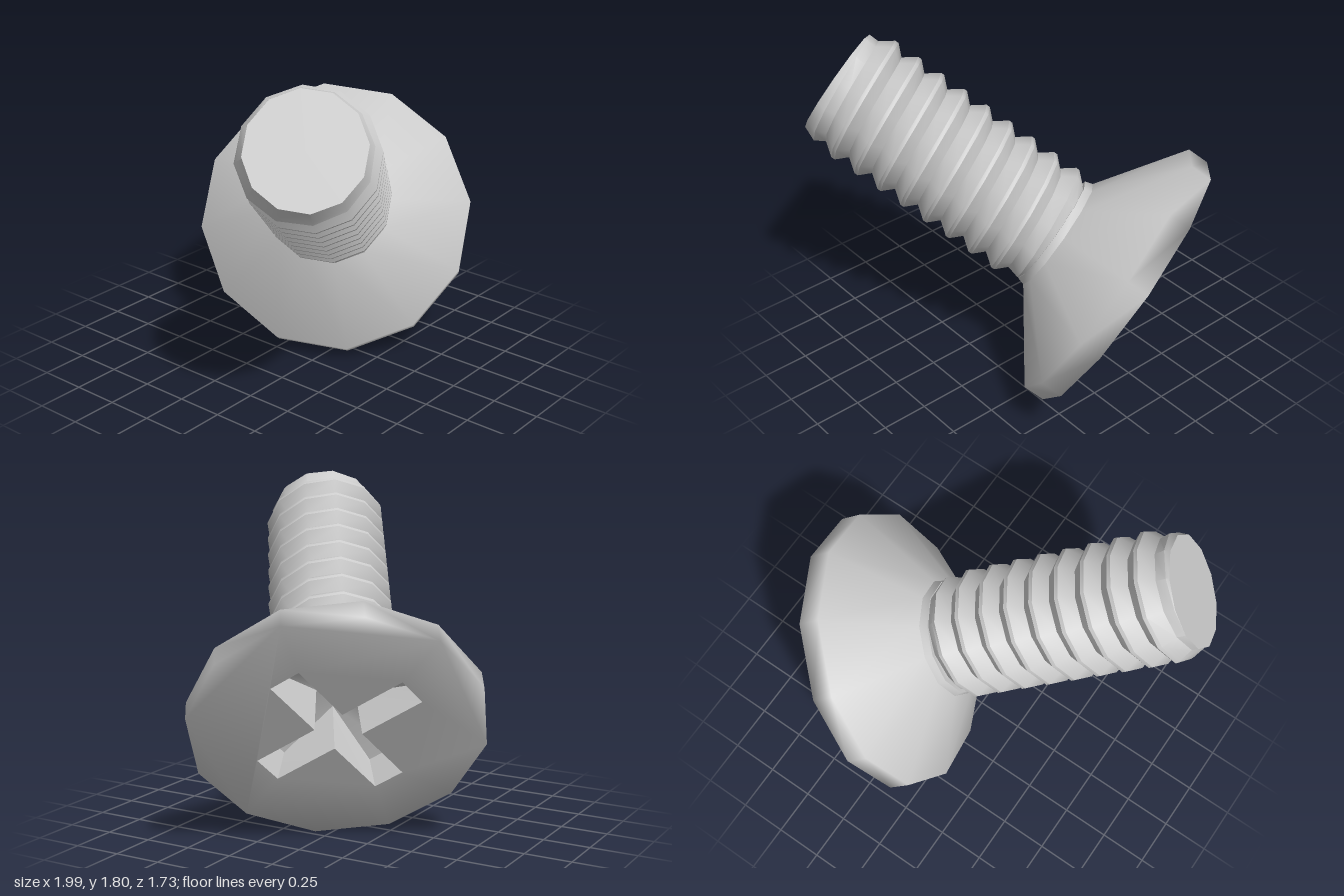
import * as THREE from 'three';
import { mergeGeometries, mergeVertices, toCreasedNormals } from 'three/addons/utils/BufferGeometryUtils.js';

const SIDES = 12, PHASE = Math.PI / 12, STEP = Math.PI * 2 / SIDES;
const RIM = 0.742, RIM_HALF = 0.062, NECK_Y = 0.36, TIP_Y = 1.72;
const ROOT = 0.282, CREST = 0.333, PITCH = 0.14;
const ARM = 0.433, ARM_W = 0.083;

const material = new THREE.MeshStandardMaterial({ color: 0xcccccc });

function addMesh(parent, name, geometry) {
  const mesh = new THREE.Mesh(geometry, material);
  mesh.name = name;
  parent.add(mesh);
}

function fromTriangles(points, index) {
  const g = new THREE.BufferGeometry();
  g.setAttribute('position', new THREE.Float32BufferAttribute(points.flat(), 3));
  g.setIndex(index);
  return g;
}

// Cross outline as [x, z], three corners per arm: inner corner, then the two end corners
function crossOutline(length, width) {
  const out = [];
  for (let k = 0; k < 4; k++) {
    const c = Math.round(Math.cos(k * Math.PI / 2)), s = Math.round(Math.sin(k * Math.PI / 2));
    for (const [u, v] of [[width, -width], [length, -width], [length, width]]) {
      out.push([u * c - v * s, u * s + v * c]);
    }
  }
  return out;
}

// Countersunk head: cone, rim band and flat face with a cross opening, smoothly shaded
function headGeometry() {
  const cone = new THREE.LatheGeometry([
    new THREE.Vector2(RIM, -RIM_HALF),
    new THREE.Vector2(RIM, RIM_HALF - 0.01),
    new THREE.Vector2(0.312, NECK_Y),
  ], SIDES, PHASE);
  const rim = [];
  for (let i = 0; i < SIDES; i++) {
    const a = PHASE + i * STEP;
    rim.push(new THREE.Vector2(RIM * Math.cos(a), RIM * Math.sin(a)));
  }
  const shape = new THREE.Shape(rim);
  shape.holes.push(new THREE.Path(crossOutline(ARM, ARM_W).map(([x, z]) => new THREE.Vector2(x, z))));
  const face = new THREE.ShapeGeometry(shape).rotateX(Math.PI / 2).translate(0, -RIM_HALF, 0);
  for (const g of [cone, face]) {
    g.deleteAttribute('uv');
    g.deleteAttribute('normal');
  }
  const head = mergeVertices(mergeGeometries([cone, face]));
  head.computeVertexNormals();
  return head;
}

// Recess: tapered walls and arm floors that slope down to a small centre
function recessGeometry() {
  const top = crossOutline(ARM, ARM_W), low = crossOutline(0.38, 0.07);
  const points = [
    ...top.map(([x, z]) => [x, -RIM_HALF, z]),
    ...low.map(([x, z], i) => [x, -RIM_HALF + (i % 3 === 0 ? 0.28 : 0.14), z]),
  ];
  const index = [];
  for (let i = 0; i < 12; i++) {
    const j = (i + 1) % 12;
    index.push(i, j, 12 + i, j, 12 + j, 12 + i);
  }
  const quad = (a, b, c, d) => index.push(a, b, c, a, c, d);
  for (let k = 0; k < 4; k++) {
    const i = 12 + 3 * k;
    quad(i, i + 1, i + 2, 12 + (3 * k + 3) % 12);
  }
  quad(12, 15, 18, 21);
  return toCreasedNormals(fromTriangles(points, index), 0.6);
}

// Shank: one continuous surface whose ridge climbs one pitch per turn and fades out at both ends
function shankGeometry() {
  const ridge = [[0, 0], [0.38, 1], [0.52, 1]];
  const start = NECK_Y + 0.02, end = TIP_Y, turns = Math.ceil((end - start) / PITCH) + 2;
  const points = [], index = [], rows = turns * ridge.length;
  for (let j = 0; j <= SIDES; j++) {
    const a = PHASE + j * STEP;
    for (let i = 0; i < rows; i++) {
      const [f, rise] = ridge[i % ridge.length];
      const raw = start + (Math.floor(i / ridge.length) - 1 + f + j / SIDES) * PITCH;
      const y = THREE.MathUtils.clamp(raw, start, end);
      const fade = Math.min(1, (y - start) / 0.08, (end - y) / 0.12);
      const r = ROOT + (CREST - ROOT) * rise * fade;
      points.push([r * Math.cos(a), y, -r * Math.sin(a)]);
    }
  }
  for (let j = 0; j < SIDES; j++) {
    for (let i = 0; i < rows - 1; i++) {
      const a = j * rows + i, b = a + rows;
      const ys = [a, b, a + 1, b + 1].map((n) => points[n][1]);
      if (Math.max(...ys) - Math.min(...ys) < 1e-6) continue;
      index.push(a, b, b + 1, a, b + 1, a + 1);
    }
  }
  return toCreasedNormals(fromTriangles(points, index), 0.6);
}

export function createModel() {
  const model = new THREE.Group();
  model.name = 'screw';

  // Built along local y, from the head face up to the tip
  const screw = new THREE.Group();
  screw.name = 'screwBody';
  addMesh(screw, 'head', headGeometry());
  addMesh(screw, 'crossRecess', recessGeometry());
  addMesh(screw, 'neckCollar', toCreasedNormals(
    new THREE.CylinderGeometry(0.3, 0.312, 0.04, SIDES, 1, false, PHASE).translate(0, NECK_Y + 0.02, 0), 0.7));
  addMesh(screw, 'threadedShank', shankGeometry());
  addMesh(screw, 'tip', new THREE.CircleGeometry(ROOT, SIDES, PHASE).rotateX(-Math.PI / 2).translate(0, TIP_Y, 0));

  // Tilt the screw onto its resting pose
  const axis = new THREE.Vector3(-0.715, 0.523, 0.465).normalize();
  const arm = new THREE.Vector3(0.678, 0.679, 0.279);
  arm.addScaledVector(axis, -arm.dot(axis)).normalize();
  const side = new THREE.Vector3().crossVectors(arm, axis);
  screw.quaternion.setFromRotationMatrix(new THREE.Matrix4().makeBasis(arm, axis, side));
  screw.position.set(0.432, 0.65, -0.185);
  model.add(screw);
  return model;
}
